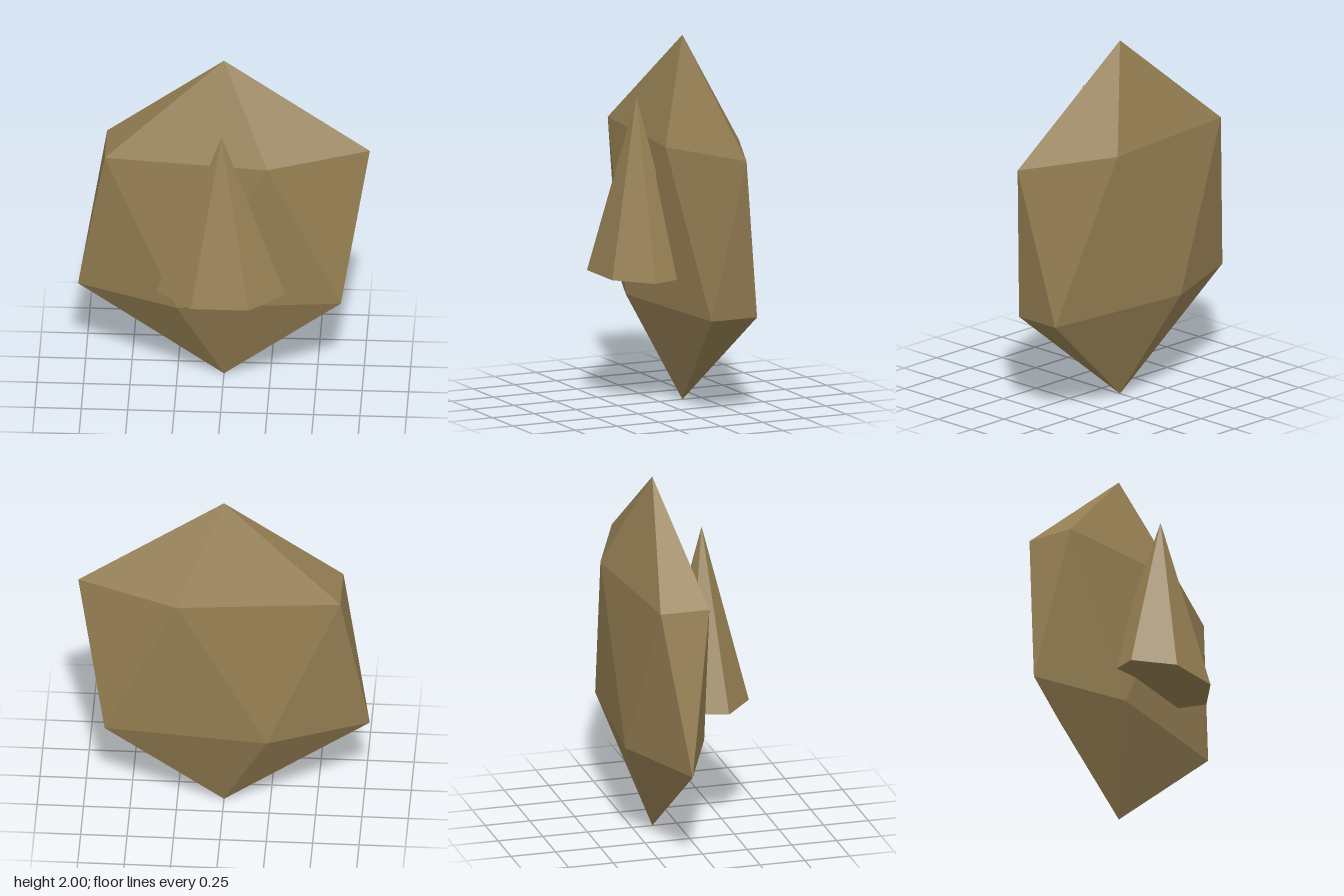
import * as THREE from 'three';

const bronze = new THREE.MeshStandardMaterial({ color: 0x957f53, flatShading: true });
bronze.name = 'dull bronze';

// Twenty-sided gem standing on a point: two poles and two staggered rings of five
function gemGeometry() {
  const ringHeight = 1 / Math.sqrt(5), ringRadius = 2 / Math.sqrt(5);
  const ring = (i, y, offset) => {
    const a = ((i + offset) * Math.PI * 2) / 5;
    return [ringRadius * Math.cos(a), y, -ringRadius * Math.sin(a)];
  };
  const points = [];
  for (let i = 0; i < 5; i++) {
    const u0 = ring(i, ringHeight, 0), u1 = ring(i + 1, ringHeight, 0);
    const l0 = ring(i, -ringHeight, 0.5), l1 = ring(i + 1, -ringHeight, 0.5);
    points.push([0, 1, 0], u0, u1); // cap
    points.push(u0, l0, u1, u1, l0, l1); // belt
    points.push([0, -1, 0], l1, l0); // foot
  }
  const geometry = new THREE.BufferGeometry();
  geometry.setAttribute('position', new THREE.Float32BufferAttribute(points.flat(), 3));
  return geometry;
}

export function createModel() {
  const model = new THREE.Group();
  model.name = 'facetedStone';

  // Flattened main body
  const bodyGeometry = gemGeometry().scale(0.878, 1, 0.259);
  bodyGeometry.computeVertexNormals();
  const body = new THREE.Mesh(bodyGeometry, bronze);
  body.name = 'body';
  body.position.set(0, 1, -0.137);
  model.add(body);

  // Seven-sided cone sunk into the front, one corner pointing back
  const coneGeometry = new THREE.ConeGeometry(0.357, 0.96, 7, 1, false, Math.PI).scale(1, 1, 0.683);
  const nose = new THREE.Mesh(coneGeometry, bronze);
  nose.name = 'nose';
  nose.position.set(0, 1.205, 0.139);
  model.add(nose);

  return model;
}
